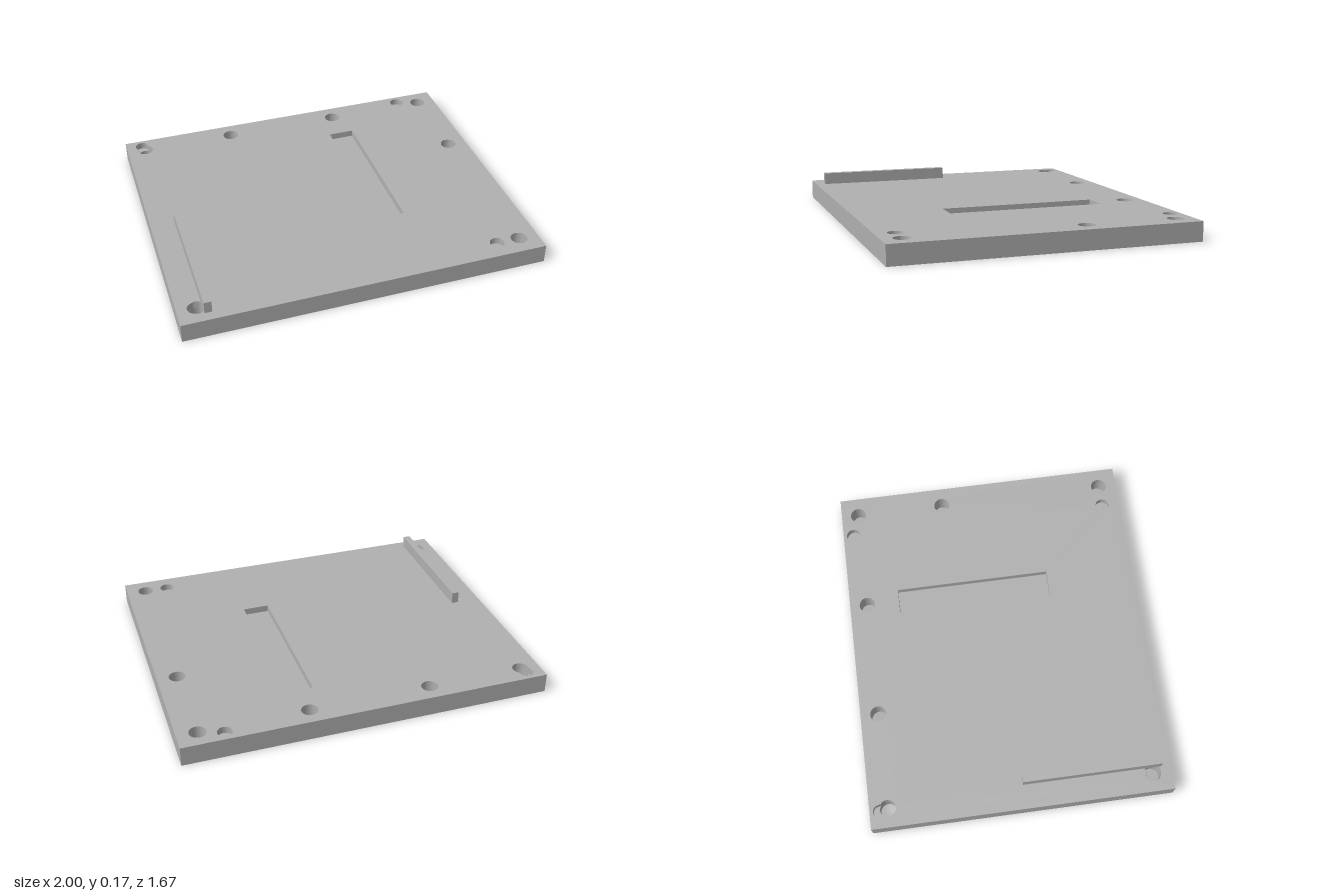
import * as THREE from 'three';
import { toCreasedNormals } from 'three/addons/utils/BufferGeometryUtils.js';

const HALF_X = 1, HALF_Z = 0.835, MID = 0.07, TOP = 0.108;
const R = 0.045, BLIND_R = 0.04;

// Rectangle path from x and z limits (shape y is -z)
function rect(path, x0, x1, z0, z1) {
  path.moveTo(x0, -z1).lineTo(x1, -z1).lineTo(x1, -z0).lineTo(x0, -z0);
  path.closePath();
  return path;
}

function circle(x, z, r) {
  return new THREE.Path().absarc(x, -z, r, 0, Math.PI * 2, false);
}

// Outline of a through hole joined with an overlapping blind hole
function joined([ax, az], [bx, bz]) {
  const dx = bx - ax, dy = az - bz, d = Math.hypot(dx, dy), dir = Math.atan2(dy, dx);
  const a = Math.acos((d * d + R * R - BLIND_R * BLIND_R) / (2 * d * R));
  const b = Math.acos((d * d + BLIND_R * BLIND_R - R * R) / (2 * d * BLIND_R));
  return new THREE.Path()
    .absarc(ax, -az, R, dir + a, dir - a + Math.PI * 2, false)
    .absarc(bx, -bz, BLIND_R, dir - b, dir + b, false);
}

// Slab of the plate with holes, from y0 to y1
function slab(holes, y0, y1) {
  const shape = rect(new THREE.Shape(), -HALF_X, HALF_X, -HALF_Z, HALF_Z);
  shape.holes.push(...holes);
  const g = new THREE.ExtrudeGeometry(shape, { depth: y1 - y0, bevelEnabled: false, curveSegments: 32 });
  g.rotateX(-Math.PI / 2).translate(0, y0, 0);
  return toCreasedNormals(g, 0.6);
}

export function createModel() {
  const group = new THREE.Group();
  const grey = new THREE.MeshStandardMaterial({ color: 0xb0b0b0 });
  grey.name = 'plain grey';
  const add = (name, geometry) => {
    const mesh = new THREE.Mesh(geometry, grey);
    mesh.name = name;
    group.add(mesh);
    return mesh;
  };

  // Through holes; the first two merge with blind holes at the top
  const cornerHoles = [[-0.895, -0.735], [-0.895, 0.73]];
  const cornerBlind = [[-0.907, -0.775], [-0.905, 0.73]];
  const freeHoles = [[-0.36, -0.735], [0.305, -0.735], [0.89, -0.735], [0.89, -0.23], [0.89, 0.73]];
  const freeBlind = [[0.76, -0.775], [0.76, 0.73]];

  // Lower half: through holes and the square pocket underneath
  add('plateLower', slab([
    ...[...cornerHoles, ...freeHoles].map(([x, z]) => circle(x, z, R)),
    rect(new THREE.Path(), 0.54, 0.91, -0.62, -0.31),
  ], 0, MID));

  // Upper half: through holes, blind holes and the long slot
  add('plateUpper', slab([
    ...freeHoles.map(([x, z]) => circle(x, z, R)),
    ...freeBlind.map(([x, z]) => circle(x, z, BLIND_R)),
    ...cornerHoles.map((c, i) => joined(c, cornerBlind[i])),
    rect(new THREE.Path(), 0.23, 0.375, -0.55, 0.33),
  ], MID, TOP));

  // Upright rib along the side
  add('rib', new THREE.BoxGeometry(0.04, 0.175 - TOP, 0.77)).position.set(-0.847, (0.175 + TOP) / 2, 0.397);

  return group;
}
